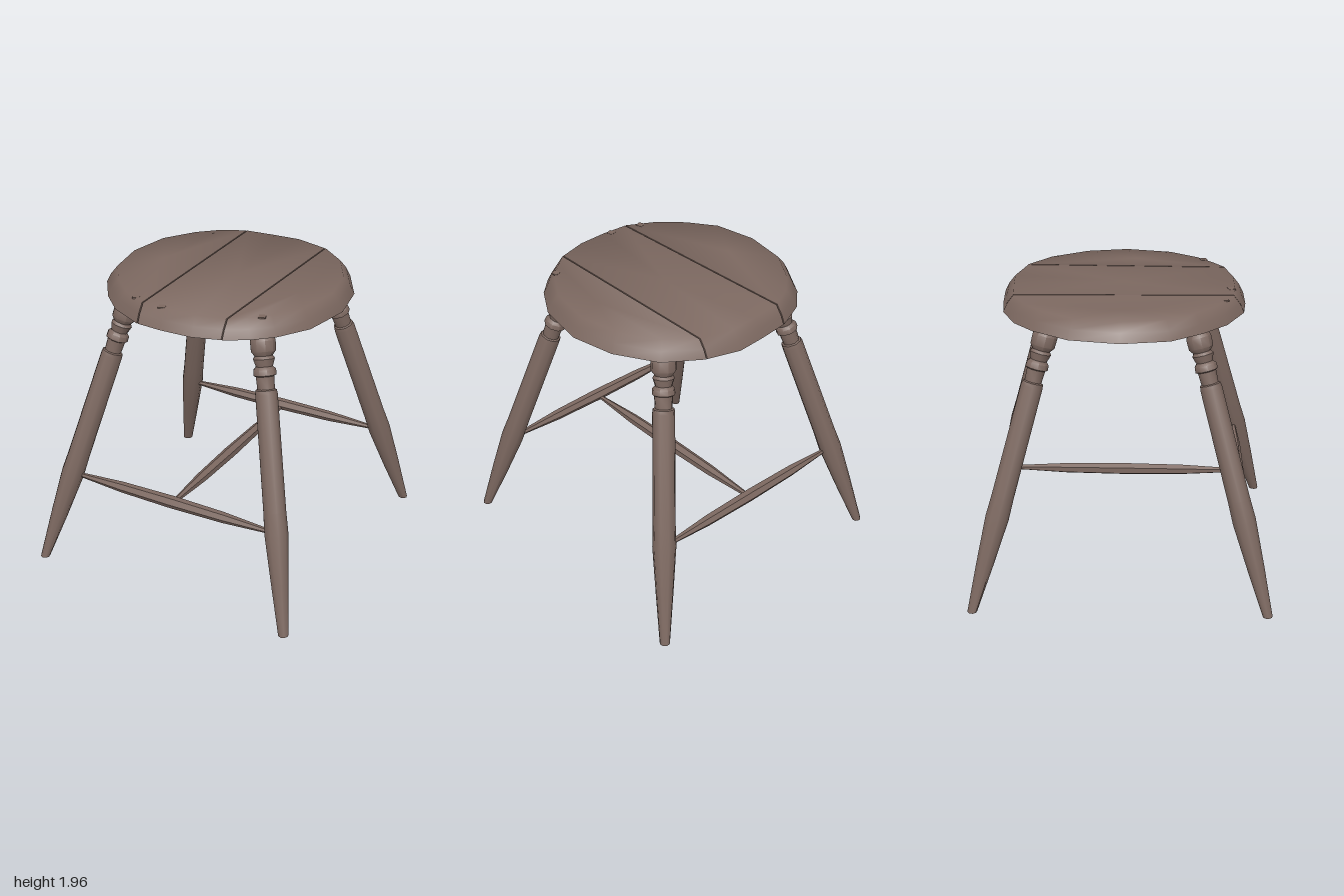
import * as THREE from 'three';
import { toCreasedNormals } from 'three/addons/utils/BufferGeometryUtils.js';

const wood = new THREE.MeshStandardMaterial({ color: 0x7c6860 });
wood.name = 'brown wood';

function addMesh(parent, name, geometry) {
  const mesh = new THREE.Mesh(geometry, wood);
  mesh.name = name;
  parent.add(mesh);
  return mesh;
}

// The two seams between the seat planks run almost straight from back to front
const leftSeam = z => -0.242 + 0.023 * z;
const rightSeam = z => 0.358 - 0.01 * z;

// One plank from its rim outline [x, z, seam?, side]; seam points slide along the seam as the ring shrinks
function plankGeometry(outline) {
  const ring = (scale, y) => outline.map(([x, z, seam, side]) => {
    const zs = z * scale;
    return new THREE.Vector3(seam ? seam(zs) + side * 0.004 : x * scale, y, zs);
  });
  const rings = [ring(0.82, 1.808), ring(1, 1.842), ring(0.965, 1.9), ring(0.91, 1.957)];
  const centre = r => r.reduce((a, p) => a.add(p), new THREE.Vector3()).divideScalar(r.length);
  const bottom = centre(rings[0]).setY(1.787), top = centre(rings[3]).setY(1.95);
  const pos = [], n = outline.length;
  const tri = (...ps) => ps.forEach(p => pos.push(p.x, p.y, p.z));
  for (let i = 0; i < n; i++) {
    const j = (i + 1) % n;
    tri(top, rings[3][i], rings[3][j]);
    tri(bottom, rings[0][j], rings[0][i]);
    for (let k = 0; k < 3; k++) {
      const low = rings[k], high = rings[k + 1];
      tri(low[i], low[j], high[j]);
      tri(low[i], high[j], high[i]);
    }
  }
  const g = new THREE.BufferGeometry();
  g.setAttribute('position', new THREE.Float32BufferAttribute(pos, 3));
  return toCreasedNormals(g, 1.1);
}

// Turned part along the line from a to b; profile is [radius, fraction of length]
function turned(parent, name, a, b, profile, sides) {
  const length = a.distanceTo(b);
  const points = profile.map(([r, t]) => new THREE.Vector2(r, t * length));
  const g = new THREE.LatheGeometry(points, sides);
  g.applyQuaternion(new THREE.Quaternion().setFromUnitVectors(
    new THREE.Vector3(0, 1, 0), b.clone().sub(a).normalize()));
  g.translate(a.x, a.y, a.z);
  // Feet are cut level with the floor
  const p = g.attributes.position;
  for (let i = 0; i < p.count; i++) if (p.getY(i) < 0.02) p.setY(i, 0);
  return addMesh(parent, name, toCreasedNormals(g, 0.75));
}

export function createModel() {
  const stool = new THREE.Group();
  stool.name = 'stool';

  // Seat of three planks
  const seat = new THREE.Group();
  seat.name = 'seat';
  stool.add(seat);
  addMesh(seat, 'rightPlank', plankGeometry([
    [0, -0.77, leftSeam, -1], [-0.47, -0.68], [-0.61, -0.55], [-0.76, -0.32], [-0.815, 0],
    [-0.76, 0.31], [-0.62, 0.51], [-0.46, 0.665], [0, 0.78, leftSeam, -1]]));
  addMesh(seat, 'middlePlank', plankGeometry([
    [0, -0.73, rightSeam, -1], [0.15, -0.8], [-0.05, -0.79], [0, -0.77, leftSeam, 1],
    [0, 0.78, leftSeam, 1], [-0.05, 0.795], [0.17, 0.79], [0, 0.735, rightSeam, -1]]));
  addMesh(seat, 'leftPlank', plankGeometry([
    [0, 0.735, rightSeam, 1], [0.5, 0.65], [0.62, 0.54], [0.75, 0.33], [0.812, 0],
    [0.755, -0.3], [0.6, -0.57], [0, -0.73, rightSeam, 1]]));

  // Small square pegs near the front edge
  [[-0.31, 0.65], [-0.09, 0.7], [0.52, 0.53]].forEach(([x, z]) => {
    const peg = addMesh(seat, 'peg', new THREE.BoxGeometry(0.045, 0.009, 0.045));
    peg.position.set(x, 1.954, z);
    peg.rotation.y = 0.3;
  });

  // Splayed legs: tapered foot, long shaft, lipped shoulder and turned neck
  const legProfile = [
    [0, 0], [0.034, 0], [0.058, 0.18], [0.078, 0.345], [0.074, 0.42], [0.072, 0.81], [0.068, 0.823],
    [0.056, 0.826], [0.06, 0.868], [0.074, 0.872], [0.072, 0.89], [0.054, 0.9], [0.07, 0.925],
    [0.058, 0.935], [0.08, 0.95], [0.082, 0.985], [0.055, 1.01], [0, 1.01]];
  for (const sx of [1, -1]) for (const sz of [1, -1]) {
    turned(stool, (sz > 0 ? 'front' : 'back') + (sx > 0 ? 'LeftLeg' : 'RightLeg'),
      new THREE.Vector3(0.925 * sx, 0, 0.965 * sz),
      new THREE.Vector3(0.49 * sx, 1.8, 0.475 * sz), legProfile, 9);
  }

  // Stretchers, swelling towards the middle
  const barProfile = [[0, 0], [0.014, 0], [0.036, 0.24], [0.042, 0.5], [0.036, 0.76], [0.014, 1], [0, 1]];
  for (const sz of [1, -1]) {
    turned(stool, sz > 0 ? 'frontStretcher' : 'backStretcher',
      new THREE.Vector3(-0.74, 0.615, 0.785 * sz), new THREE.Vector3(0.74, 0.615, 0.785 * sz), barProfile, 6);
  }
  turned(stool, 'middleStretcher',
    new THREE.Vector3(0, 0.6, 0.77), new THREE.Vector3(0, 0.6, -0.77), barProfile, 6);

  return stool;
}
